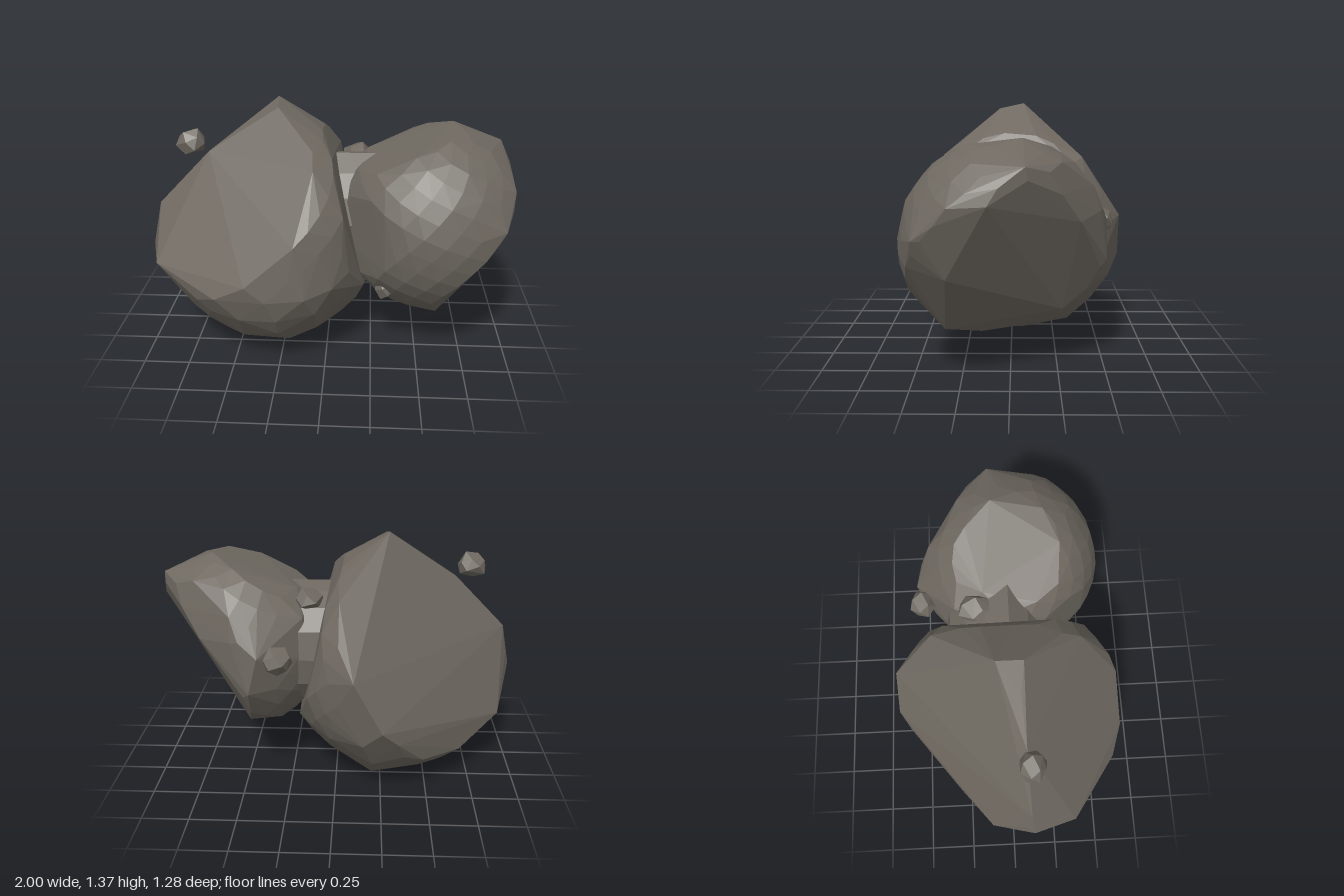
import * as THREE from 'three';
import { ConvexGeometry } from 'three/addons/geometries/ConvexGeometry.js';

const V = (x, y, z) => new THREE.Vector3(x, y, z);

// small seeded generator for surface roughness
function seeded(seed) {
  return () => {
    seed = (seed * 16807) % 2147483647;
    return seed / 2147483647;
  };
}

// faceted ball sliced by planes [nx, ny, nz, d], with extra corner points
function slicedBall({ center, radius, count, planes, corners, seed, rough }) {
  const random = seeded(seed);
  const points = corners.map((c) => V(...c));
  for (let i = 0; i < count; i++) {
    const y = 1 - (2 * (i + 0.5)) / count;
    const ring = Math.sqrt(1 - y * y);
    const a = i * Math.PI * (3 - Math.sqrt(5));
    const p = V(ring * Math.cos(a), y, ring * Math.sin(a))
      .multiplyScalar(radius * (1 - rough * random()))
      .add(V(...center));
    const inside = planes.every(([nx, ny, nz, d]) => nx * p.x + ny * p.y + nz * p.z <= d);
    if (inside && p.y >= 0) points.push(p);
  }
  return new ConvexGeometry(points);
}

export function createModel() {
  const group = new THREE.Group();
  const rock = new THREE.MeshStandardMaterial({ color: 0x6e6860, flatShading: true });
  rock.name = 'dark grey rock';

  const add = (name, geometry) => {
    const mesh = new THREE.Mesh(geometry, rock);
    mesh.name = name;
    group.add(mesh);
    return mesh;
  };

  // large lobe: flat slopes at front and back meeting in a ridge and peak
  add('largeLobe', slicedBall({
    center: [-0.33, 0.64, 0], radius: 0.648, count: 380, seed: 11, rough: 0.01,
    planes: [
      [-0.43, 0.57, 0.7, 0.935],
      [-0.58, 0.43, -0.69, 0.79],
      [-0.62, 0, -0.784, 0.67],
      [1, 0.25, 0, 0.31],
    ],
    corners: [
      [-1, 0.55, 0.11], [-0.95, 0.79, 0.09], [-0.92, 0.33, -0.12],
      [-0.66, 1.09, 0.07], [-0.42, 1.25, 0.05], [-0.28, 1.37, -0.07],
      [-0.27, 1.34, 0.07], [-0.07, 1.2, -0.02], [-0.25, 0.46, -0.645],
      [-0.1, 0.73, -0.63], [-0.02, 1.08, -0.4], [-0.93, 0.53, 0.34],
      [-0.68, 0.4, 0.5], [-0.57, 0.45, 0.59], [-0.3, 0.46, 0.64],
      [-0.1, 0.47, 0.62], [0.04, 0.5, 0.54], [-0.05, 0.35, 0.54],
      [-0.25, 0.33, 0.6], [-0.45, 0.32, 0.57], [-0.25, 0.22, 0.53],
      [-0.2, 0.13, 0.43], [-0.45, 0.14, 0.42], [-0.05, 0.2, 0.42],
      [-0.2, 0.06, -0.34], [-0.2, 0.19, -0.48], [-0.15, 0.35, -0.58],
      [-0.2, 0.004, 0], [-0.4, 0, 0.02],
    ],
  }));

  // small lobe: rounded toward the neck, broad slanting cut on the outer end
  add('smallLobe', slicedBall({
    center: [0.58, 0.72, 0.03], radius: 0.53, count: 300, seed: 29, rough: 0.015,
    planes: [
      [0.785, -0.573, -0.232, 0.204],
      [-0.35, 0.94, 0, 0.93],
      [-0.78, 0, 0.625, 0.05],
      [0.6, 0, -0.8, 0.68],
    ],
    corners: [
      [0.68, 1.245, -0.06], [0.95, 1.14, -0.07], [1, 0.97, 0.1],
      [0.99, 0.96, 0.28], [0.93, 0.8, 0.45], [0.87, 0.6, 0.3],
      [0.72, 0.85, -0.34], [0.83, 1.0, -0.24], [0.46, 0.21, 0.15],
      [0.45, 0.6, -0.5], [0.4, 0.8, -0.5], [0.54, 0.87, -0.45],
      [0.6, 0.27, 0.33], [0.48, 0.34, -0.27],
      [0.22, 1.07, -0.12], [0.14, 0.98, 0.08], [0.18, 0.95, -0.28],
    ],
  }));

  // neck joining the lobes
  const neckGeometry = new THREE.CylinderGeometry(1, 1, 0.3, 14, 3);
  const random = seeded(7);
  const ringScale = Array.from({ length: 14 }, () => 0.95 + 0.1 * random());
  const pos = neckGeometry.attributes.position;
  for (let i = 0; i < pos.count; i++) {
    const a = Math.atan2(pos.getZ(i), pos.getX(i));
    const k = ringScale[(Math.round((a / (2 * Math.PI)) * 14 + 0.25) + 28) % 14];
    pos.setXYZ(i, pos.getX(i) * 0.34 * k, pos.getY(i), pos.getZ(i) * 0.28 * k);
  }
  neckGeometry.rotateZ(Math.PI / 2);
  neckGeometry.translate(0.14, 0.73, -0.05);
  add('neck', neckGeometry);

  // loose fragment above and boulders clinging to the surface
  const boulders = [
    ['looseFragment', -0.745, 1.15, 0.09, 0.1, 0.08, 0.09],
    ['backBoulder', 0.3, 0.78, -0.47, 0.1, 0.085, 0.095],
    ['neckBoulder', 0.15, 1.02, -0.16, 0.1, 0.07, 0.12],
    ['frontBoulder', 0.32, 0.41, 0.32, 0.07, 0.08, 0.08],
  ];
  boulders.forEach(([name, x, y, z, sx, sy, sz], n) => {
    const stone = slicedBall({
      center: [0, 3, 0], radius: 1, count: 16, seed: 41 + n * 13, rough: 0.25, planes: [], corners: [],
    });
    stone.translate(0, -3, 0);
    const mesh = add(name, stone);
    mesh.scale.set(sx, sy, sz);
    mesh.position.set(x, y, z);
  });

  return group;
}
